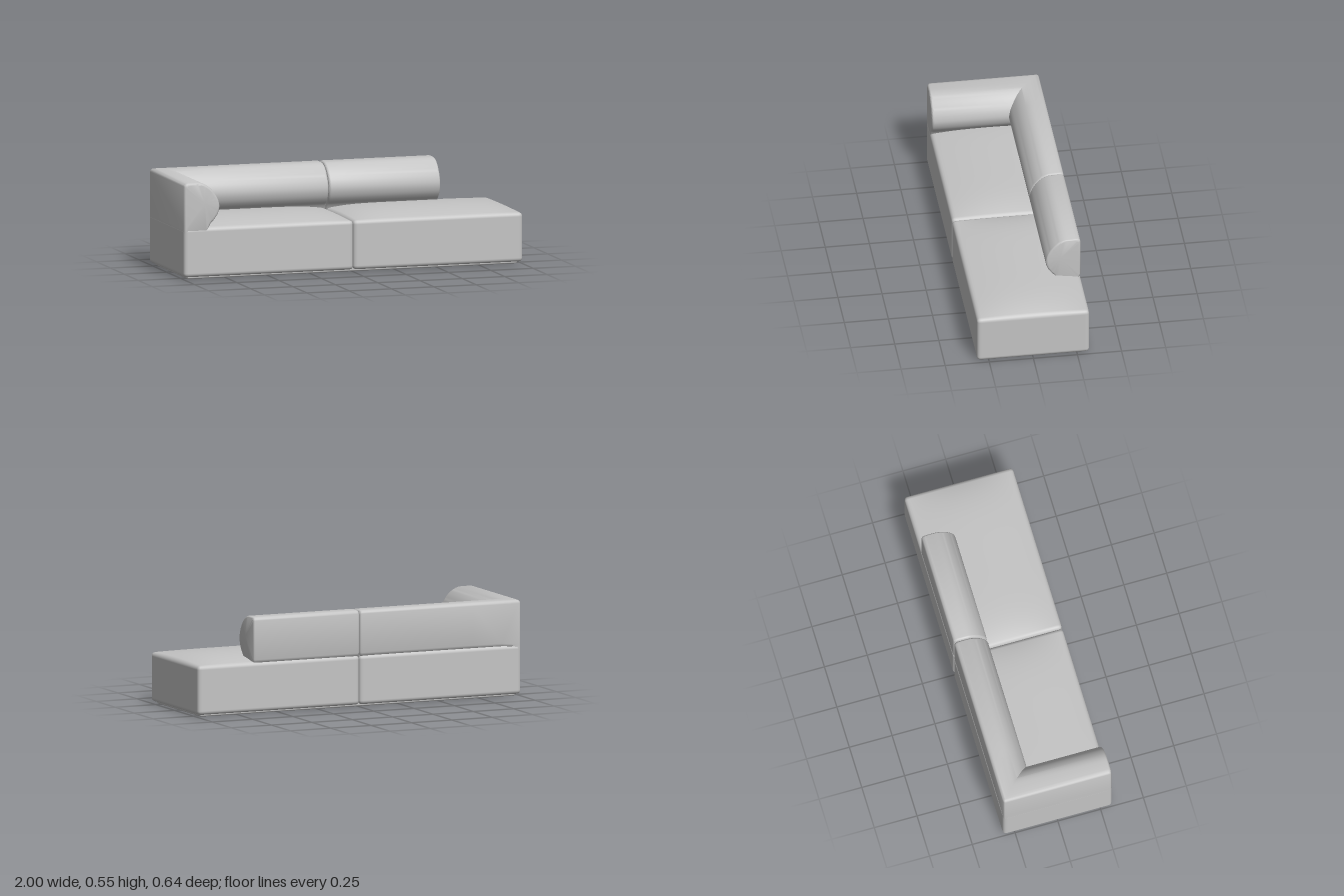
import * as THREE from 'three';
import { toCreasedNormals } from 'three/addons/utils/BufferGeometryUtils.js';

const BACK = -0.317, FRONT = 0.317;

// Box with rounded edges and an optional domed top; grid lines gather near the edges
function cushionGeometry(w, h, d, r, rise) {
  const g = new THREE.BoxGeometry(2, 2, 2, 28, 20, 28);
  const half = new THREE.Vector3(w / 2, h / 2, d / 2);
  const inner = half.clone().subScalar(r);
  const ease = s => Math.sign(s) * (1 - (1 - Math.abs(s)) ** 2);
  const p = new THREE.Vector3(), core = new THREE.Vector3();
  const pos = g.attributes.position, nor = g.attributes.normal;
  for (let i = 0; i < pos.count; i++) {
    p.fromBufferAttribute(pos, i);
    p.set(ease(p.x), ease(p.y), ease(p.z)).multiply(half);
    core.copy(p).clamp(inner.clone().negate(), inner);
    const n = p.clone().sub(core).normalize();
    p.copy(core).addScaledVector(n, r);
    const fx = 1 - Math.abs(p.x / half.x) ** 5, fz = 1 - (p.z / half.z) ** 2;
    p.y += rise * fx * fz * THREE.MathUtils.smoothstep(p.y, half.y - 0.09, half.y);
    // analytic normals: rounded box, tilted by the dome slope on top
    if (rise && n.y > 0) {
      n.x += n.y * rise * fz * 5 * Math.sign(p.x) * Math.abs(p.x / half.x) ** 4 / half.x;
      n.z += n.y * rise * fx * 2 * p.z / half.z ** 2;
      n.normalize();
    }
    pos.setXYZ(i, p.x, p.y, p.z);
    nor.setXYZ(i, n.x, n.y, n.z);
  }
  return g;
}

// Bolster cross-section as [depth from the back, height]: flat behind, round in front
const curve = new THREE.SplineCurve([
  [0.06, 0.547], [0.09, 0.545], [0.12, 0.533], [0.15, 0.509], [0.173, 0.478], [0.19, 0.445],
  [0.197, 0.405], [0.187, 0.365], [0.168, 0.335], [0.145, 0.308], [0.125, 0.26],
].map(p => new THREE.Vector2(...p)));
const profile = [
  [0.012, 0.26], [0.012, 0.285], [0.004, 0.294], [0, 0.305], [0, 0.527], [0.002, 0.535],
  [0.007, 0.541], [0.014, 0.545], [0.025, 0.547],
  ...curve.getPoints(28).map(p => [p.x, p.y]),
];
// Same section without the groove where it meets the base
const armProfile = profile.map(([u, y], i) => [i < 4 ? 0 : u, y]);

// Shrinks a section evenly for rounded ends
const inset = (section, d) => section.map(([u, y]) =>
  [0.1 + (u - 0.1) * (1 - 10 * d), 0.405 + (y - 0.405) * (1 - d / 0.143)]);

// Steps of a rounded end as [distance along, inset]
const endSteps = r => [0, 1, 2, 3, 4].map(k => {
  const a = k * Math.PI / 8;
  return [r * (1 - Math.cos(a)), r * (1 - Math.sin(a))];
});

// Skins closed rings and caps both ends
function loft(rings) {
  const n = rings[0].length, v = rings.flat(2), idx = [];
  for (let i = 0; i < rings.length - 1; i++) {
    for (let j = 0; j < n; j++) {
      const k = (j + 1) % n, a = i * n, b = a + n;
      idx.push(a + j, b + j, a + k, b + j, b + k, a + k);
    }
  }
  [rings[0], rings[rings.length - 1]].forEach((ring, e) => {
    const c = v.length / 3, s = e ? (rings.length - 1) * n : 0;
    v.push(...[0, 1, 2].map(q => ring.reduce((t, p) => t + p[q], 0) / n));
    for (let j = 0; j < n; j++) {
      const k = (j + 1) % n;
      idx.push(c, s + (e ? k : j), s + (e ? j : k));
    }
  });
  const g = new THREE.BufferGeometry();
  g.setAttribute('position', new THREE.Float32BufferAttribute(v, 3));
  g.setIndex(idx);
  return toCreasedNormals(g, 0.6);
}

const backRing = (section, x) => section.map(([u, y]) => [x, y, BACK + u]);
const armRing = (section, z) => section.map(([u, y]) => [-0.999 + u * 1.07, y, z]);

// Straight backrest between two x positions
function straightBack(x0, x1, r) {
  const steps = endSteps(r);
  return loft([
    ...steps.map(([t, d]) => backRing(inset(profile, d), x1 - t)),
    ...steps.reverse().map(([t, d]) => backRing(inset(profile, d), x0 + t)),
  ]);
}

// Backrest that turns a mitred corner into the armrest
function cornerBack() {
  const r = 0.016, steps = endSteps(r);
  const corner = [0, 1, 2, 3, 4].map(k => {
    const a = k * Math.PI / 8;
    return armProfile.map(([u, y]) => {
      const s = Math.max(r - u, 0), c = Math.max(r, u);
      return [-0.999 + (c - s * Math.sin(a)) * 1.07, y, BACK + c - s * Math.cos(a)];
    });
  });
  return loft([
    ...steps.map(([t, d]) => backRing(inset(profile, d), -0.001 - t)),
    backRing(profile, -0.7),
    // only the hidden lower rear differs between these two sections
    ...corner.slice(0, 1).map(ring => ring.map((p, i) => (i < 4 ? [-0.88, profile[i][1], BACK + profile[i][0]] : p))),
    ...corner,
    ...steps.reverse().map(([t, d]) => armRing(inset(armProfile, d), FRONT - t)),
  ]);
}

export function createModel() {
  const group = new THREE.Group();
  const fabric = new THREE.MeshStandardMaterial({ color: 0xc4c4c4 });
  fabric.name = 'light grey fabric';
  const add = (name, geometry, x = 0, y = 0) => {
    const mesh = new THREE.Mesh(geometry, fabric);
    mesh.name = name;
    mesh.position.set(x, y, 0);
    group.add(mesh);
  };

  // Recessed plinth
  add('plinth', cushionGeometry(1.95, 0.04, 0.58, 0.008, 0), 0, 0.02);

  // Two upholstered seat blocks with domed tops
  for (const side of [-1, 1]) {
    add(side < 0 ? 'rightSeat' : 'leftSeat',
      cushionGeometry(0.999, 0.278, 0.636, 0.02, 0.033), side * 0.5, 0.151);
  }

  // Bolsters
  add('cornerBackAndArm', cornerBack());
  add('leftBack', straightBack(0.001, 0.658, 0.013));
  return group;
}
